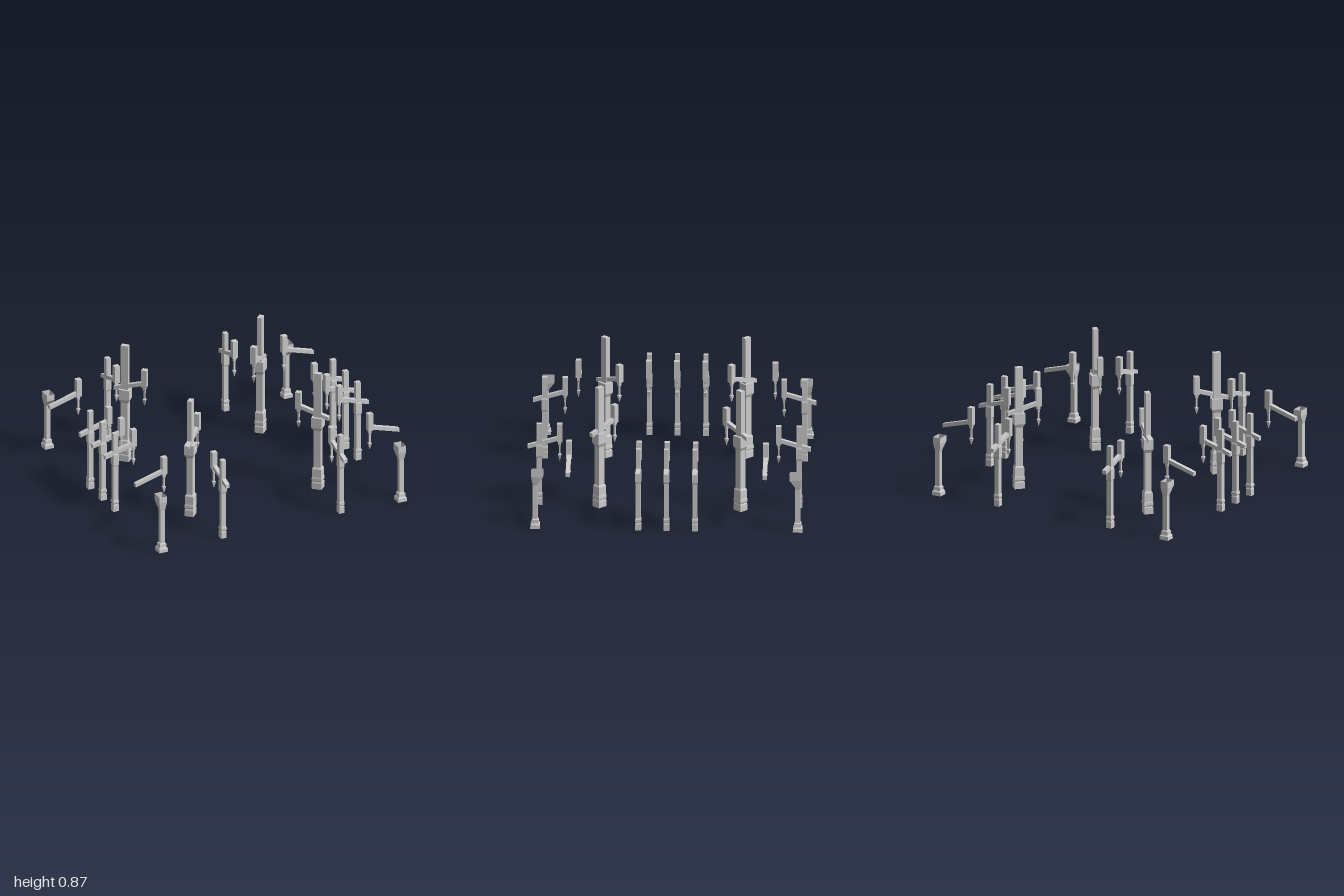
import * as THREE from 'three';

const mat = new THREE.MeshStandardMaterial({ color: 0xcccccc, flatShading: true, side: THREE.DoubleSide });

// Rectangular loft: each section is [y, width x, depth z, z offset]
function loft(sections, openTop = false) {
  const pos = [], idx = [];
  for (const [y, w, d, o = 0] of sections) {
    pos.push(-w / 2, y, o + d / 2, w / 2, y, o + d / 2, w / 2, y, o - d / 2, -w / 2, y, o - d / 2);
  }
  const n = sections.length - 1;
  for (let i = 0; i < n; i++) {
    for (let k = 0; k < 4; k++) {
      const a = i * 4 + k, b = i * 4 + (k + 1) % 4;
      idx.push(a, b, b + 4, a, b + 4, a + 4);
    }
  }
  idx.push(0, 2, 1, 0, 3, 2);
  const t = n * 4;
  if (!openTop) idx.push(t, t + 1, t + 2, t, t + 2, t + 3);
  const g = new THREE.BufferGeometry();
  g.setAttribute('position', new THREE.Float32BufferAttribute(pos, 3));
  g.setIndex(idx);
  const flat = g.toNonIndexed();
  flat.computeVertexNormals();
  return flat;
}

// Sloping bracket arm, sheared so both ends stay vertical; inward is +z
const SLOPE = 0.29, OUTER = -0.08, INNER = 0.15, REACH = 0.14;
const armGeo = new THREE.BoxGeometry(0.03, 0.028, INNER - OUTER).translate(0, 0.443, (INNER + OUTER) / 2);
const ap = armGeo.attributes.position;
for (let i = 0; i < ap.count; i++) ap.setY(i, ap.getY(i) + SLOPE * ap.getZ(i));
armGeo.computeVertexNormals();

// Hanging short post with a bud-shaped drop
const pendantGeo = loft([[0.46, 0.038, 0.038], [0.588, 0.038, 0.038]]);
const dropGeo = loft([
  [0.315, 0.002, 0.002], [0.362, 0.024, 0.024], [0.37, 0.012, 0.012], [0.425, 0.013, 0.013],
  [0.44, 0.02, 0.02], [0.46, 0.022, 0.022],
]);

// Outer post with stepped base and collar
const postGeo = loft([
  [0, 0.04, 0.043], [0.045, 0.04, 0.043], [0.056, 0.034, 0.036], [0.062, 0.041, 0.044],
  [0.078, 0.041, 0.044], [0.088, 0.034, 0.036], [0.34, 0.034, 0.036], [0.352, 0.041, 0.044],
  [0.425, 0.041, 0.044], [0.44, 0.033, 0.036], [0.588, 0.033, 0.036],
]);

// Tall inner post with heavy base and flared collar
const tallGeo = loft([
  [0, 0.063, 0.072], [0.045, 0.063, 0.072], [0.055, 0.056, 0.064], [0.062, 0.064, 0.073],
  [0.08, 0.064, 0.073], [0.09, 0.059, 0.067], [0.15, 0.059, 0.067], [0.163, 0.044, 0.051],
  [0.44, 0.044, 0.051], [0.465, 0.066, 0.076], [0.54, 0.066, 0.076], [0.54, 0.034, 0.053],
  [0.87, 0.034, 0.053],
]);

// Low corner post, its open head leaning inward
const cornerGeo = loft([
  [0, 0.068, 0.066], [0.026, 0.066, 0.064], [0.036, 0.05, 0.05], [0.06, 0.048, 0.046],
  [0.066, 0.033, 0.034], [0.31, 0.033, 0.034], [0.325, 0.04, 0.038], [0.375, 0.058, 0.082, 0.014],
  [0.418, 0.058, 0.082, 0.014],
], true);

function mesh(name, geo, parent, y = 0, z = 0) {
  const m = new THREE.Mesh(geo, mat);
  m.name = name;
  m.position.set(0, y, z);
  parent.add(m);
  return m;
}

// Places a named group so that its local +z points inward
function place(root, name, x, z, turn) {
  const g = new THREE.Group();
  g.name = name;
  g.position.set(x, 0, z);
  g.rotation.y = turn;
  root.add(g);
  return g;
}

function addBracket(g, lift = 0) {
  mesh('bracketArm', armGeo, g, lift);
  mesh('pendantPost', pendantGeo, g, lift, REACH);
  mesh('pendantDrop', dropGeo, g, lift, REACH);
}

export function createModel() {
  const root = new THREE.Group();
  root.name = 'postAndBracketFrame';

  for (const s of [-1, 1]) {
    const inward = -s * Math.PI / 2;

    // Rows of posts along both sides
    for (const z of [-0.195, 0, 0.192]) {
      const g = place(root, 'sidePost', s * 0.92, z, inward);
      mesh('post', postGeo, g);
      addBracket(g);
    }

    // Brackets without posts near the corners
    for (const z of [-0.674, 0.671]) {
      addBracket(place(root, 'freeBracket', s * 0.92, z, inward));
    }

    for (const f of [-1, 1]) {
      const toCentre = f > 0 ? Math.PI : 0;

      // Front and back posts
      const x = s * 0.447 + f * 0.008;
      const end = place(root, f > 0 ? 'frontPost' : 'backPost', x, f * 0.888, toCentre);
      mesh('post', postGeo, end);
      addBracket(end);

      // Tall posts facing the centre diagonally
      const tx = s * (f > 0 ? 0.483 : 0.513), tz = f > 0 ? 0.475 : -0.489;
      const tall = place(root, 'tallPost', tx, tz, Math.atan2(-s, -f));
      mesh('post', tallGeo, tall);
      addBracket(tall, 0.118);

      // Corner posts
      mesh('post', cornerGeo, place(root, 'cornerPost', s * 0.906, f * 0.897, toCentre));
    }
  }
  return root;
}
